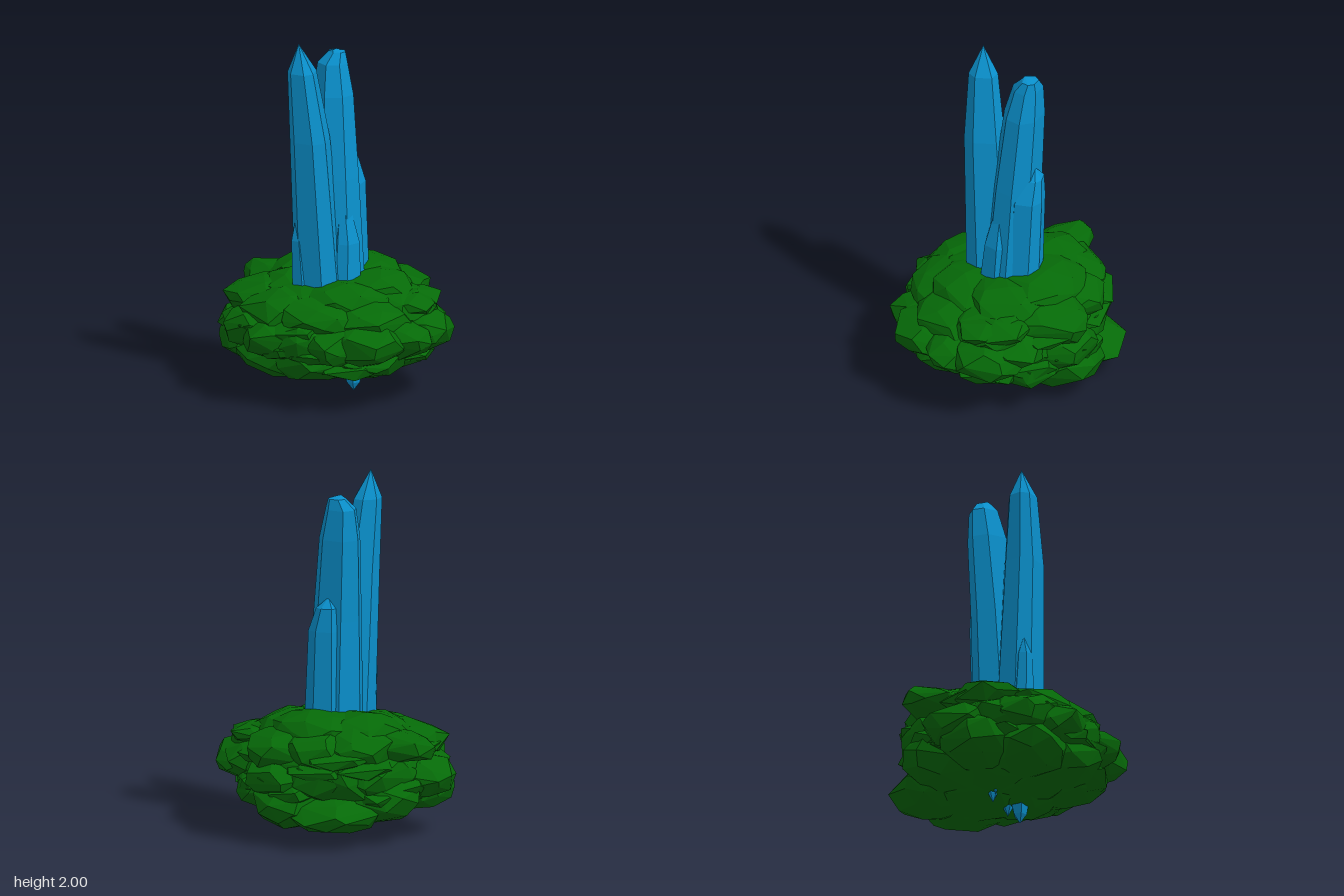
import * as THREE from 'three';
import { ConvexGeometry } from 'three/addons/geometries/ConvexGeometry.js';

const crystalMat = new THREE.MeshStandardMaterial({ color: 0x0a90cc, flatShading: true });
const rockMat = new THREE.MeshStandardMaterial({ color: 0x066a08, flatShading: true });

let seed = 7;
function rand() {
  seed = (seed * 16807) % 2147483647;
  return seed / 2147483647;
}

// Faceted shard through rings of [x, y, z, radius], listed from bottom to top
function shard(name, rings, sides, turn) {
  const wobble = Array.from({ length: sides }, () => [0.93 + 0.09 * rand(), 0.35 * (rand() - 0.5)]);
  const point = ([x, y, z, r], i) => {
    const [w, da] = wobble[i % sides];
    const a = turn + ((i % sides) / sides) * Math.PI * 2 + da;
    return [x + r * w * Math.cos(a), y, z + r * w * Math.sin(a)];
  };
  const pos = [];
  for (let k = 0; k < rings.length - 1; k++) {
    for (let i = 0; i < sides; i++) {
      const a = point(rings[k], i), b = point(rings[k], i + 1);
      const c = point(rings[k + 1], i), d = point(rings[k + 1], i + 1);
      if (rings[k][3] > 0) pos.push(...a, ...c, ...b);
      if (rings[k + 1][3] > 0) pos.push(...b, ...c, ...d);
    }
  }
  const geo = new THREE.BufferGeometry();
  geo.setAttribute('position', new THREE.Float32BufferAttribute(pos, 3));
  geo.computeVertexNormals();
  const mesh = new THREE.Mesh(geo, crystalMat);
  mesh.name = name;
  return mesh;
}

// Angular boulder: hull of jittered points on an ellipsoid.
// deg = direction around y, reach = how far out its outer face lies
function boulder(name, deg, reach, y, radial, across, high, count = 34) {
  const pts = [];
  for (let i = 0; i < count; i++) {
    const v = 1 - (2 * (i + 0.5)) / count;
    const a = i * 2.39996 + rand() * 0.7;
    const s = Math.sqrt(1 - v * v);
    const k = 0.94 + rand() * 0.14;
    pts.push(new THREE.Vector3(s * Math.cos(a) * radial * k, v * high * k, s * Math.sin(a) * across * k));
  }
  const mesh = new THREE.Mesh(new ConvexGeometry(pts), rockMat);
  const a = THREE.MathUtils.degToRad(deg);
  mesh.position.set(Math.cos(a) * (reach - radial), y, Math.sin(a) * (reach - radial));
  mesh.rotation.y = -a;
  mesh.name = name;
  return mesh;
}

export function createModel() {
  const model = new THREE.Group();

  // Rock mass: a core with rings of overlapping boulders
  const rock = new THREE.Group();
  rock.name = 'rockMass';
  rock.add(boulder('rockCore', 0, 0.55, 0.39, 0.55, 0.54, 0.27, 60));
  const layers = {
    // [direction, reach, y, radial, across, height]
    lowerBoulder: [
      [5, 0.57, 0.28, 0.28, 0.24, 0.14], [45, 0.6, 0.27, 0.28, 0.26, 0.14],
      [90, 0.56, 0.26, 0.28, 0.27, 0.13], [135, 0.59, 0.26, 0.28, 0.25, 0.14],
      [178, 0.67, 0.27, 0.27, 0.23, 0.13], [218, 0.61, 0.25, 0.27, 0.24, 0.15],
      [260, 0.65, 0.18, 0.28, 0.26, 0.11], [300, 0.62, 0.21, 0.28, 0.24, 0.13],
      [335, 0.57, 0.27, 0.27, 0.23, 0.14],
    ],
    middleBoulder: [
      [2, 0.7, 0.39, 0.27, 0.23, 0.13], [25, 0.68, 0.38, 0.28, 0.22, 0.13],
      [51, 0.7, 0.38, 0.3, 0.23, 0.13], [73, 0.65, 0.37, 0.28, 0.2, 0.12],
      [97, 0.6, 0.38, 0.28, 0.24, 0.14], [122, 0.64, 0.38, 0.28, 0.22, 0.13],
      [143, 0.65, 0.4, 0.28, 0.23, 0.13], [164, 0.63, 0.38, 0.27, 0.22, 0.14],
      [186, 0.7, 0.34, 0.27, 0.23, 0.12], [225, 0.6, 0.38, 0.26, 0.24, 0.14],
      [270, 0.57, 0.38, 0.26, 0.24, 0.14], [307, 0.62, 0.37, 0.27, 0.24, 0.13],
      [346, 0.62, 0.42, 0.26, 0.2, 0.12],
    ],
    upperBoulder: [
      [0, 0.58, 0.49, 0.28, 0.25, 0.13], [40, 0.59, 0.48, 0.3, 0.27, 0.12],
      [85, 0.55, 0.49, 0.29, 0.28, 0.12], [130, 0.57, 0.49, 0.29, 0.26, 0.13],
      [170, 0.61, 0.51, 0.28, 0.22, 0.12], [209, 0.7, 0.54, 0.27, 0.16, 0.09],
      [240, 0.57, 0.54, 0.27, 0.24, 0.12], [275, 0.57, 0.52, 0.28, 0.24, 0.13],
      [309, 0.61, 0.51, 0.29, 0.25, 0.13],
    ],
    topBoulder: [
      [225, 0.5, 0.58, 0.26, 0.26, 0.13], [285, 0.45, 0.6, 0.25, 0.28, 0.12],
      [345, 0.45, 0.57, 0.25, 0.26, 0.12], [55, 0.45, 0.54, 0.26, 0.3, 0.12],
      [120, 0.43, 0.53, 0.25, 0.27, 0.11], [175, 0.43, 0.56, 0.24, 0.24, 0.11],
    ],
    bottomBoulder: [
      [80, 0.4, 0.23, 0.27, 0.31, 0.12], [0, 0.42, 0.21, 0.27, 0.27, 0.12],
      [190, 0.42, 0.22, 0.27, 0.27, 0.11], [275, 0.48, 0.17, 0.29, 0.29, 0.1],
    ],
  };
  for (const [name, rows] of Object.entries(layers)) {
    for (const row of rows) rock.add(boulder(name, ...row));
  }
  // Broad slabs jutting from the sides
  for (let i = 0; i < 24; i++) {
    const y = 0.24 + 0.3 * rand();
    const reach = 0.59 + 0.04 * rand() - Math.abs(y - 0.38) * 0.15;
    rock.add(boulder('slab', i * 47 + 10 * rand(), reach, y, 0.18, 0.16 + 0.06 * rand(), 0.05 + 0.03 * rand(), 16));
  }
  model.add(rock);

  // Crystals rising from the rock
  const crystals = new THREE.Group();
  crystals.name = 'crystals';
  crystals.add(
    shard('tallCrystal', [[-0.045, 0.5, 0.1, 0.142], [-0.09, 1.45, 0.15, 0.115], [-0.133, 1.84, 0.165, 0.083], [-0.155, 2, 0.17, 0]], 7, 0.3),
    shard('secondCrystal', [[0.01, 0.5, -0.01, 0.168], [-0.015, 1.2, -0.045, 0.14], [-0.035, 1.66, -0.08, 0.118],
      [-0.045, 1.83, -0.1, 0.088], [-0.025, 1.89, -0.115, 0.05], [-0.04, 1.905, -0.085, 0]], 7, 0),
    shard('backCrystal', [[0.05, 0.5, -0.075, 0.125], [0.035, 1.15, -0.11, 0.105], [0.02, 1.28, -0.135, 0.07], [0.015, 1.34, -0.15, 0]], 7, 0.5),
    shard('sideCrystal', [[0.07, 0.5, 0.06, 0.1], [0.075, 0.85, 0.04, 0.08], [0.045, 1.23, 0.02, 0]], 7, 0.1),
    shard('smallCrystal', [[-0.12, 0.5, 0.16, 0.075], [-0.145, 0.88, 0.18, 0.05], [-0.17, 0.98, 0.19, 0]], 6, 0.4),
  );

  // Crystal roots poking through the underside
  const roots = [[0.12, 0, 0.04, 0.065], [0.09, 0.04, -0.02, 0.045], [-0.09, 0.05, -0.03, 0.04], [-0.12, 0.08, 0, 0.03]];
  roots.forEach(([x, y, z, r], i) => crystals.add(
    shard('crystalRoot', [[x, y, z, 0], [x, y + 0.05, z, r * 0.6], [x - 0.01, y + 0.16, z, r]], 5, i)));
  model.add(crystals);
  return model;
}
